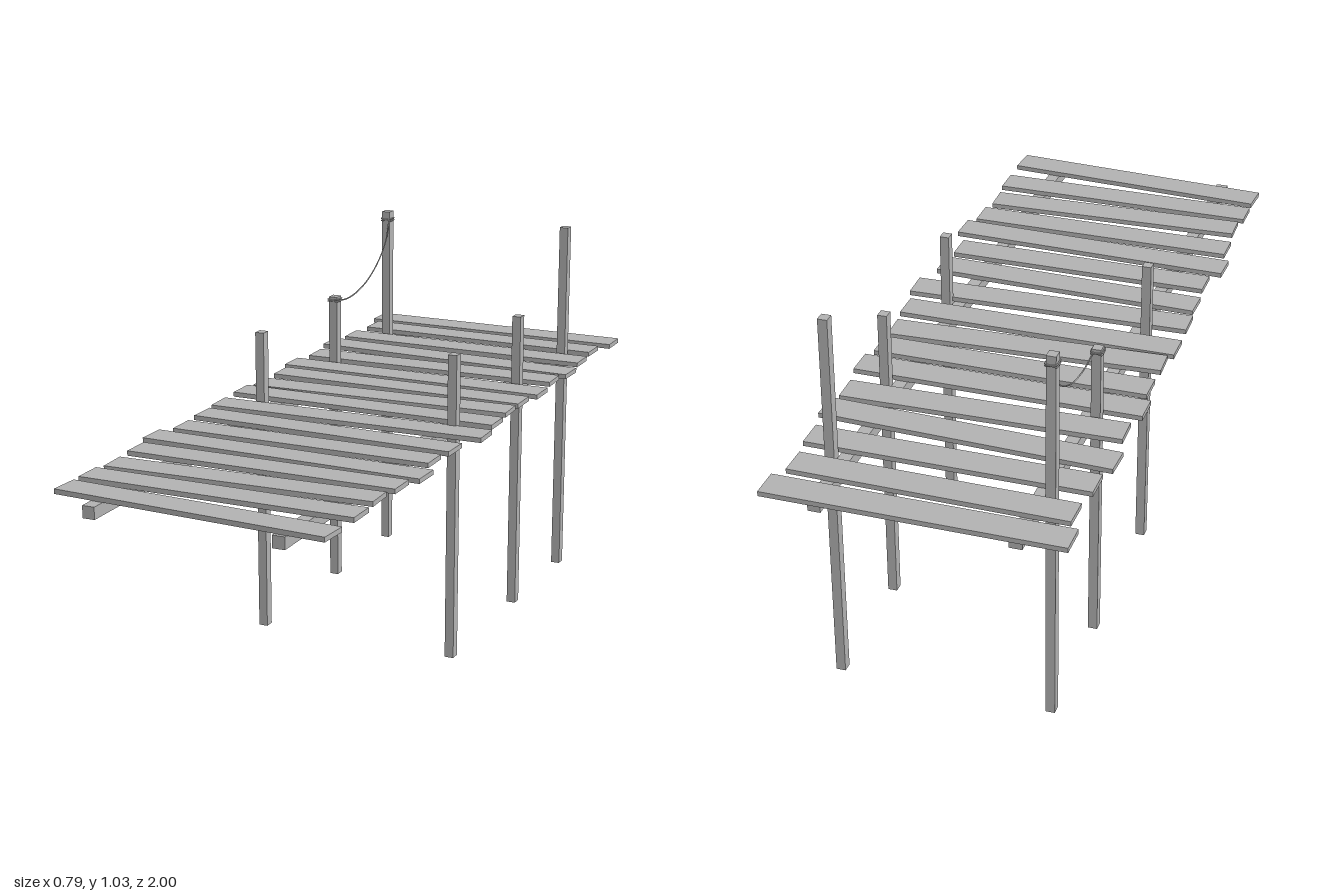
import * as THREE from 'three';

export function createModel() {
  const model = new THREE.Group();
  model.name = 'woodenDock';
  const wood = new THREE.MeshStandardMaterial({ color: 0xb3b3b3 });
  wood.name = 'weathered grey';

  function add(geometry, name, x = 0, y = 0, z = 0) {
    const mesh = new THREE.Mesh(geometry, wood);
    mesh.name = name;
    mesh.position.set(x, y, z);
    model.add(mesh);
    return mesh;
  }

  // Deck planks: left end x, right end x, z at each end
  const planks = [
    [-0.39, 0.38, -0.958, -0.958],
    [-0.365, 0.355, -0.853, -0.846],
    [-0.377, 0.365, -0.718, -0.718],
    [-0.395, 0.38, -0.608, -0.582],
    [-0.377, 0.365, -0.47, -0.487],
    [-0.395, 0.38, -0.35, -0.35],
    [-0.377, 0.365, -0.245, -0.245],
    [-0.377, 0.365, -0.116, -0.148],
    [-0.39, 0.375, -0.027, -0.027],
    [-0.385, 0.393, 0.113, 0.094],
    [-0.377, 0.365, 0.22, 0.238],
    [-0.37, 0.355, 0.348, 0.348],
    [-0.398, 0.387, 0.455, 0.474],
    [-0.377, 0.365, 0.571, 0.571],
    [-0.367, 0.355, 0.704, 0.68],
    [-0.377, 0.365, 0.804, 0.804],
    [-0.377, 0.365, 0.912, 0.955],
  ];
  planks.forEach(([x0, x1, z0, z1], i) => {
    const length = Math.hypot(x1 - x0, z1 - z0);
    const plank = add(new THREE.BoxGeometry(length, 0.013, 0.082), `plank${i + 1}`,
      (x0 + x1) / 2, 0.648, (z0 + z1) / 2);
    plank.rotation.y = -Math.atan2(z1 - z0, x1 - x0);
  });

  // Two long beams under the deck
  for (const [side, x] of [['right', -0.256], ['left', 0.247]]) {
    add(new THREE.BoxGeometry(0.033, 0.032, 1.975), `${side}Beam`, x, 0.6255, 0.0115);
  }

  // Three pairs of posts, the rear pair taller
  for (const [row, z, height] of [['front', 0.048, 0.845], ['middle', -0.412, 0.845], ['rear', -0.78, 1.027]]) {
    for (const [side, x] of [['Right', -0.283], ['Left', 0.281]]) {
      add(new THREE.BoxGeometry(0.025, height, 0.027), `${row}${side}Post`, x, height / 2, z);
    }
  }

  // Sagging rope between the rear and middle posts
  const ropeCurve = new THREE.CatmullRomCurve3([
    [-0.273, 1.0, -0.766], [-0.273, 0.945, -0.745], [-0.274, 0.89, -0.69],
    [-0.274, 0.845, -0.6], [-0.273, 0.826, -0.49], [-0.273, 0.834, -0.4],
  ].map((p) => new THREE.Vector3(...p)));
  add(new THREE.TubeGeometry(ropeCurve, 40, 0.002, 6), 'rope');

  // Rope lashings around both posts
  for (const [name, y, z] of [['middleLashing', 0.835, -0.412], ['rearLashing', 1.003, -0.78]]) {
    for (const dy of [-0.003, 0.003]) {
      const corners = [[-1, -1], [1, -1], [1, 1], [-1, 1]].map(([sx, sz]) =>
        new THREE.Vector3(sx * 0.0142, sx * dy, sz * 0.0152));
      const loop = new THREE.CatmullRomCurve3(corners, true, 'catmullrom', 0.1);
      add(new THREE.TubeGeometry(loop, 32, 0.002, 6, true), name, -0.283, y, z);
    }
  }

  return model;
}
